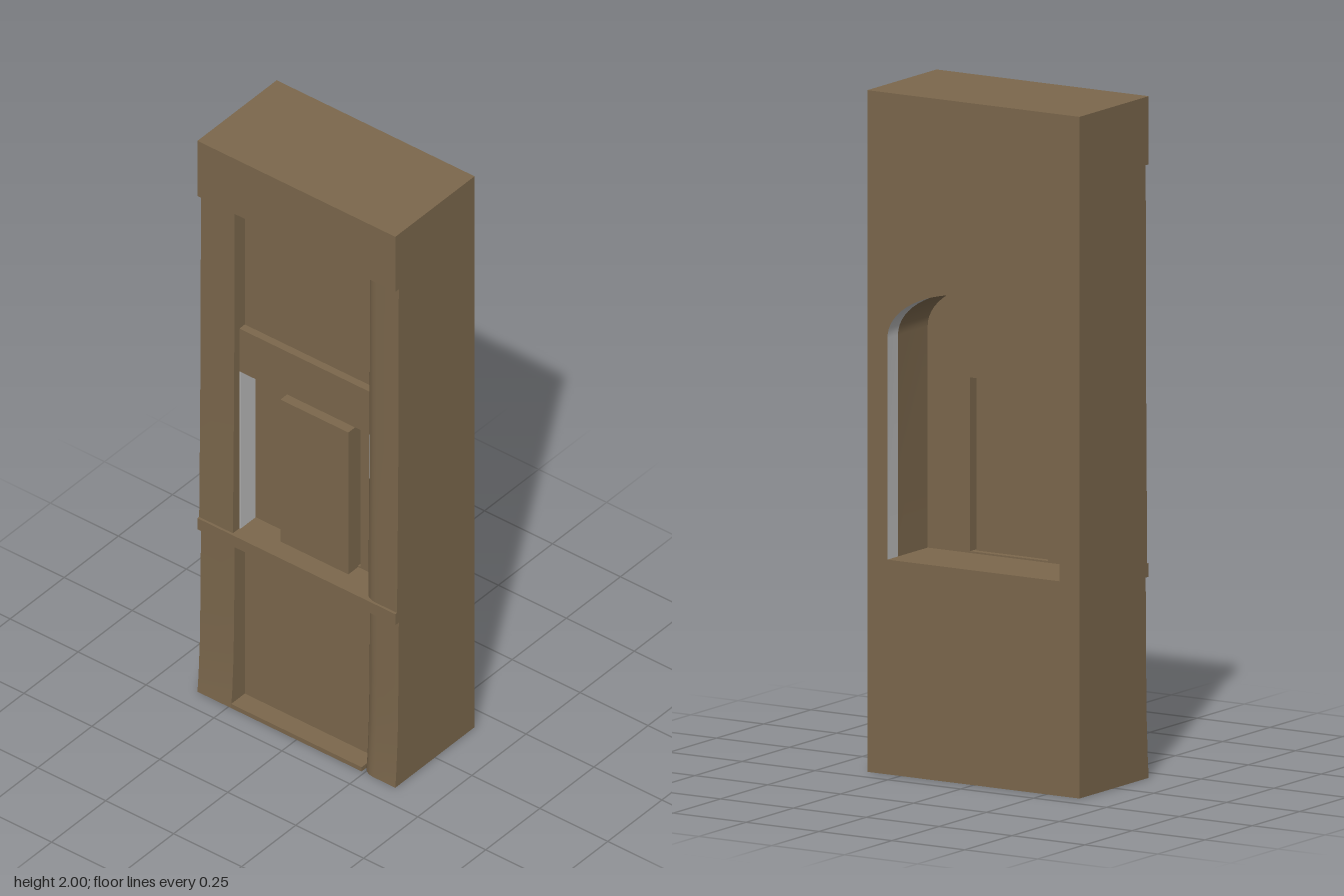
import * as THREE from 'three';
import { toCreasedNormals } from 'three/addons/utils/BufferGeometryUtils.js';

const X = 0.183, Z = 0.364, PANEL = -0.12, REC = 0.24;
const SILL = 0.63, SPRING = 1.28, HALF = 0.295, RISE = 0.155;

// Surface through rows of points
function loft(rows) {
  const n = rows[0].length, pos = [], idx = [];
  rows.forEach(r => r.forEach(p => pos.push(...p)));
  for (let i = 0; i < rows.length - 1; i++) {
    for (let j = 0; j < n - 1; j++) {
      const a = i * n + j, b = a + n;
      idx.push(a, a + 1, b + 1, a, b + 1, b);
    }
  }
  const g = new THREE.BufferGeometry();
  g.setAttribute('position', new THREE.Float32BufferAttribute(pos, 3));
  g.setIndex(idx);
  return toCreasedNormals(g, 0.6);
}

// Outline of the arched niche as [z, y] points, from sill to sill
function archPoints() {
  const pts = [[HALF, SILL]];
  for (let i = 0; i <= 32; i++) {
    const a = Math.PI * i / 32;
    pts.push([HALF * Math.cos(a), SPRING + RISE * Math.sin(a)]);
  }
  pts.push([-HALF, SILL]);
  return pts;
}

// Shapes facing +x use -z as their horizontal axis
const toVec = pts => pts.map(([z, y]) => new THREE.Vector2(-z, y));
const rect = (z0, z1, y0, y1) => toVec([[z0, y0], [z1, y0], [z1, y1], [z0, y1]]);

export function createModel() {
  const model = new THREE.Group();
  const stone = new THREE.MeshStandardMaterial({ color: 0x7b674c, side: THREE.DoubleSide });
  stone.name = 'brownStone';
  const plaster = new THREE.MeshStandardMaterial({ color: 0xb8b8b8, side: THREE.DoubleSide });
  plaster.name = 'greyPlaster';

  const add = (name, geo, mat = stone) => {
    const m = new THREE.Mesh(geo, mat);
    m.name = name;
    model.add(m);
    return m;
  };
  const box = (name, x0, x1, y0, y1, z0, z1, mat) =>
    add(name, new THREE.BoxGeometry(x1 - x0, y1 - y0, z1 - z0), mat)
      .position.set((x0 + x1) / 2, (y0 + y1) / 2, (z0 + z1) / 2);

  // Flared profiles of the pilasters, [x, y], below and above the sill
  const lower = [[-X, 0], [-0.178, 0.06], [-0.172, 0.18], [-0.169, 0.35], [-0.167, 0.59]];
  const upper = [[-0.175, SILL], [-0.172, 0.9], [-0.169, 1.2], [-0.167, 1.8]];

  // End walls
  const end = new THREE.Shape([...lower, ...upper, [-X, 1.8], [-X, 2], [X, 2], [X, 0]]
    .map(p => new THREE.Vector2(...p)));
  for (const s of [1, -1]) {
    add(s > 0 ? 'frontEndWall' : 'backEndWall', new THREE.ShapeGeometry(end)).position.z = s * Z;
  }

  // Broad wall with the arched opening
  const arch = archPoints();
  const wall = new THREE.Shape(rect(Z, -Z, 0, 2));
  wall.holes.push(new THREE.Path(toVec(arch)));
  add('archedWall', new THREE.ShapeGeometry(wall).rotateY(Math.PI / 2)).position.x = X;

  // Niche lining: grey rim, then stone, and a flat floor
  const lining = (x0, x1) => loft([x0, x1].map(x => arch.map(([z, y]) => [x, y, z])));
  add('nicheRim', lining(X, 0.127), plaster);
  add('nicheLining', lining(0.127, -0.03));
  add('nicheFloor', loft([[[X, SILL, HALF], [X, SILL, -HALF]], [[-0.03, SILL, HALF], [-0.03, SILL, -HALF]]]));

  // Back wall of the niche with its window opening and shutter
  const back = new THREE.Shape(toVec(arch));
  back.holes.push(new THREE.Path(rect(0.15, -0.118, 0.635, 1.145)));
  add('nicheBackWall', new THREE.ExtrudeGeometry(back, { depth: 0.045, bevelEnabled: false, steps: 1 })
    .rotateY(Math.PI / 2)).position.x = -0.075;
  box('shutter', PANEL, -0.05, 0.63, 1.145, -0.109, 0.141);

  // Pilasters beside the recess, one square and one rounded
  const square = x => [[x, -Z], [x, -REC], [PANEL, -REC]];
  const rounded = x => {
    const pts = [[x, Z]];
    for (let i = 0; i <= 8; i++) {
      const a = Math.PI / 2 * i / 8;
      pts.push([x + 0.03 * (1 - Math.cos(a)), REC + 0.045 * (1 - Math.sin(a))]);
    }
    pts.push([PANEL, REC]);
    return pts;
  };
  for (const [name, plan] of [['squarePilaster', square], ['roundedPilaster', rounded]]) {
    for (const profile of [lower, upper]) {
      add(name, loft(profile.map(([x, y]) => plan(x).map(([px, z]) => [px, y, z]))));
    }
  }

  // Recessed panels, lintel, sill, frieze and foot ledge
  box('lowerPanel', PANEL, PANEL + 0.006, 0, 0.6, -REC, REC);
  box('upperPanel', PANEL, PANEL + 0.006, 1.3, 1.81, -REC, REC);
  box('lintel', -0.145, -0.07, 1.2, 1.355, -REC, REC);
  box('sill', -X, -0.07, 0.59, SILL, -Z, Z);
  box('frieze', -X, -0.1, 1.8, 2, -Z, Z);
  box('footLedge', -X, PANEL, 0, 0.015, -REC, REC);

  // Grey jambs of the window recess
  for (const s of [1, -1]) {
    const z = s * (REC - 0.002);
    box('windowJamb', -0.145, -0.075, SILL, 1.2, z - 0.002, z + 0.002, plaster);
  }

  // Roof
  add('topFace', new THREE.PlaneGeometry(2 * X, 2 * Z).rotateX(-Math.PI / 2)).position.y = 2;
  return model;
}
